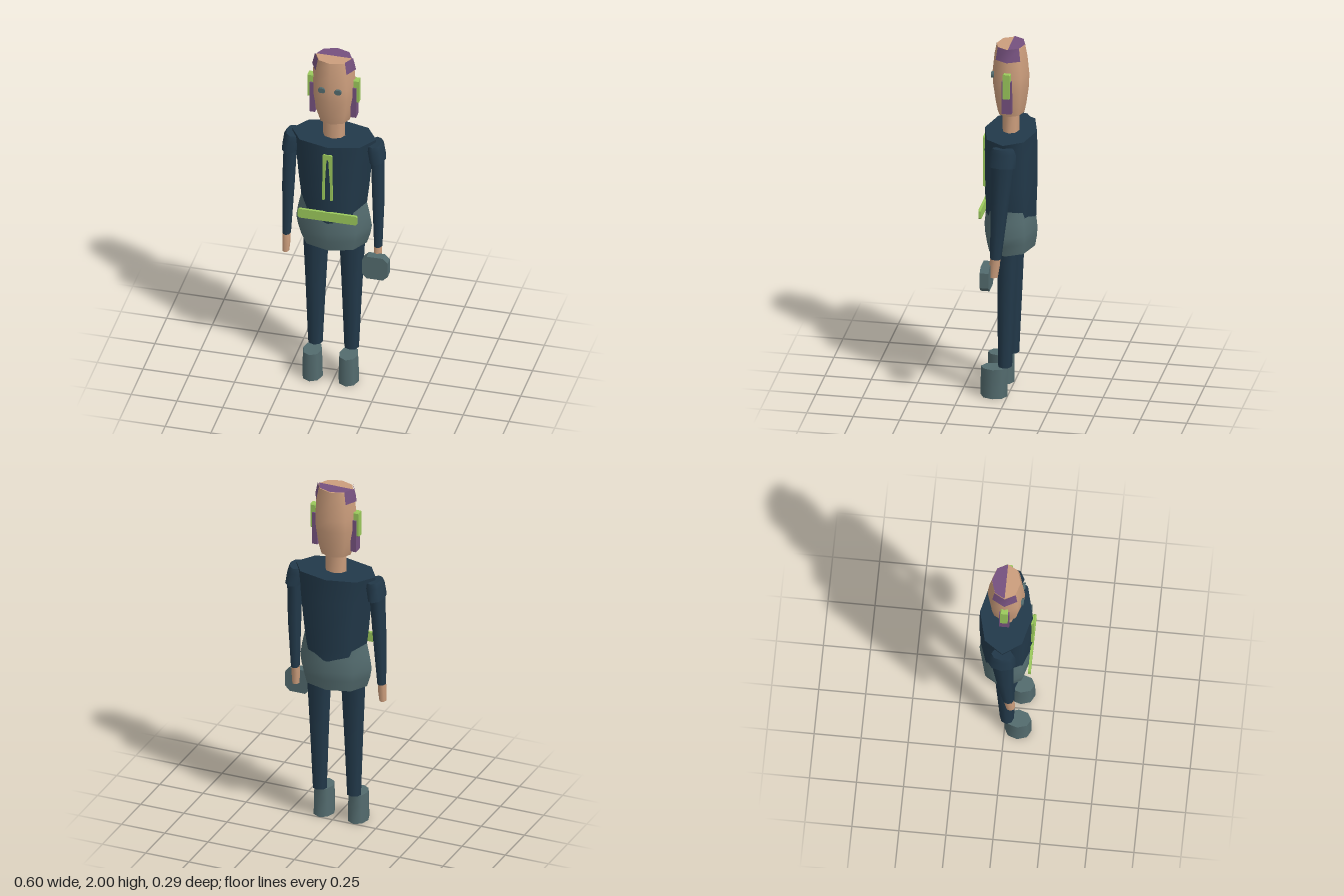
import * as THREE from 'three';

const mat = (name, color) => {
  const m = new THREE.MeshStandardMaterial({ color });
  m.name = name;
  return m;
};

export function createModel() {
  const skin = mat('skin', 0xcb9d7c);
  const navy = mat('navy cloth', 0x22394a);
  const grey = mat('grey cloth', 0x536b6e);
  const green = mat('green trim', 0x9bc95c);
  const purple = mat('purple hair', 0x75517e);

  const model = new THREE.Group();
  model.name = 'figure';
  // The body's centre line sits a little off x = 0
  const body = new THREE.Group();
  body.name = 'body';
  body.position.x = -0.02;
  model.add(body);

  const add = (name, geometry, material, x = 0, y = 0, z = 0) => {
    const mesh = new THREE.Mesh(geometry, material);
    mesh.name = name;
    mesh.position.set(x, y, z);
    body.add(mesh);
    return mesh;
  };

  // Eight-sided smooth loft; rings from top to bottom: [y, rx, rz, cx, cz]
  const loft = (rings, sides = 8, start = 0, length = Math.PI * 2, open = false) => {
    const rows = rings.length - 1;
    const g = new THREE.CylinderGeometry(1, 1, 1, sides, rows, open, start, length);
    const p = g.attributes.position;
    for (let i = 0; i < p.count; i++) {
      const [y, rx, rz, cx = 0, cz = 0] = rings[Math.round((0.5 - p.getY(i)) * rows)];
      p.setXYZ(i, p.getX(i) * rx + cx, y, p.getZ(i) * rz + cz);
    }
    g.computeVertexNormals();
    if (length > 6) { // blend the normals across the seam
      const n = g.attributes.normal;
      for (let r = 0; r <= rows; r++) {
        const a = r * (sides + 1), b = a + sides;
        const v = new THREE.Vector3().fromBufferAttribute(n, a)
          .add(new THREE.Vector3().fromBufferAttribute(n, b)).normalize();
        n.setXYZ(a, v.x, v.y, v.z);
        n.setXYZ(b, v.x, v.y, v.z);
      }
    }
    return g;
  };

  // Rectangular plate with cut corners, extruded along z from 0 to d
  const cutPlate = (w, h, d, c) => {
    const x = w / 2, y = h / 2;
    const s = new THREE.Shape([
      [-x + c, -y], [x - c, -y], [x, -y + c], [x, y - c],
      [x - c, y], [-x + c, y], [-x, y - c], [-x, -y + c],
    ].map(([a, b]) => new THREE.Vector2(a, b)));
    return new THREE.ExtrudeGeometry(s, { depth: d, bevelEnabled: false });
  };

  // Torso, hips and neck
  add('torso', loft([
    [1.5, 0.23, 0.14], [1.36, 0.207, 0.144], [1.2, 0.192, 0.142],
    [1.08, 0.178, 0.138], [1.015, 0.16, 0.137],
  ]), navy);
  add('hips', loft([
    [1.095, 0.18, 0.122], [1.02, 0.196, 0.135], [0.95, 0.207, 0.143],
    [0.9, 0.198, 0.14], [0.84, 0.18, 0.13],
  ]), grey);
  add('neck', loft([[1.64, 0.06, 0.046], [1.48, 0.061, 0.046]]), skin);

  // Head with a flat top, its back half covered by hair
  const headRings = [
    [1.992, 0.098, 0.077], [1.93, 0.112, 0.089], [1.83, 0.12, 0.099],
    [1.76, 0.12, 0.097], [1.66, 0.104, 0.083], [1.605, 0.085, 0.072],
  ];
  add('head', loft(headRings), skin);
  const crown = new THREE.CircleGeometry(1, 4, 0, Math.PI);
  crown.rotateX(-Math.PI / 2);
  crown.scale(0.098, 1, 0.077);
  add('hairCrown', crown, purple, 0, 1.996, 0);

  // Belt and open collar strip
  add('belt', cutPlate(0.325, 0.055, 0.014, 0.008), green, 0, 1.0625, 0.131);
  const strip = new THREE.Shape([
    [-0.028, 1.17], [-0.016, 1.17], [-0.014, 1.28], [-0.005, 1.425], [0.005, 1.425],
    [0.014, 1.28], [0.016, 1.17], [0.028, 1.17], [0.026, 1.45], [0.02, 1.456],
    [-0.02, 1.456], [-0.026, 1.45],
  ].map(([a, b]) => new THREE.Vector2(a, b)));
  add('collarStrip', new THREE.ExtrudeGeometry(strip, { depth: 0.016, bevelEnabled: false }),
    green, 0, 0, 0.13);

  for (const [side, s] of [['left', 1], ['right', -1]]) {
    // Face and hair
    add(side + 'Eye', cutPlate(0.037, 0.028, 0.014, 0.008), grey, s * 0.044, 1.828, 0.083);
    const tuft = loft([[2, 0.104, 0.081], [1.93, 0.12, 0.094]],
      2, s * Math.PI / 2 - Math.PI / 4, Math.PI / 2, true);
    add(side + 'HairTuft', tuft, purple);
    add(side + 'Sideburn', new THREE.BoxGeometry(0.03, 0.185, 0.054), purple, s * 0.112, 1.732, 0);
    const ear = cutPlate(0.04, 0.14, 0.03, 0.005);
    ear.rotateY(s * Math.PI / 2);
    add(side + 'EarPiece', ear, green, s * 0.11, 1.8, 0);

    // Arm: shoulder cap, sleeve and hand
    const shoulder = add(side + 'Shoulder', loft([
      [0.052, 0.038, 0.058], [0.025, 0.045, 0.07], [-0.05, 0.044, 0.074],
    ]), navy, s * 0.232, 1.43, 0);
    shoulder.rotation.z = s * 0.16;
    add(side + 'Sleeve', loft([
      [1.42, 0.037, 0.062, s * 0.238, 0], [1.15, 0.034, 0.048, s * 0.246, 0.015],
      [0.855, 0.023, 0.03, s * 0.25, 0.034],
    ]), navy);
    add(side + 'Hand', loft([
      [0.875, 0.021, 0.026, s * 0.25, 0.033], [0.82, 0.023, 0.029, s * 0.25, 0.04],
      [0.75, 0.019, 0.024, s * 0.252, 0.046],
    ]), skin);

    // Leg and shoe
    add(side + 'Leg', loft([
      [0.88, 0.072, 0.056, s * 0.099, 0], [0.55, 0.056, 0.048, s * 0.099, 0.006],
      [0.175, 0.04, 0.038, s * 0.099, 0.013],
    ]), navy);
    add(side + 'Shoe', loft([
      [0.165, 0.051, 0.07], [0.1, 0.054, 0.072], [0, 0.056, 0.072],
    ]), grey, s * 0.099, 0, 0.072);
  }

  // Gadget held in the left hand
  add('handGadget', cutPlate(0.14, 0.137, 0.048, 0.026), grey, 0.25, 0.752, 0.059);

  return model;
}
